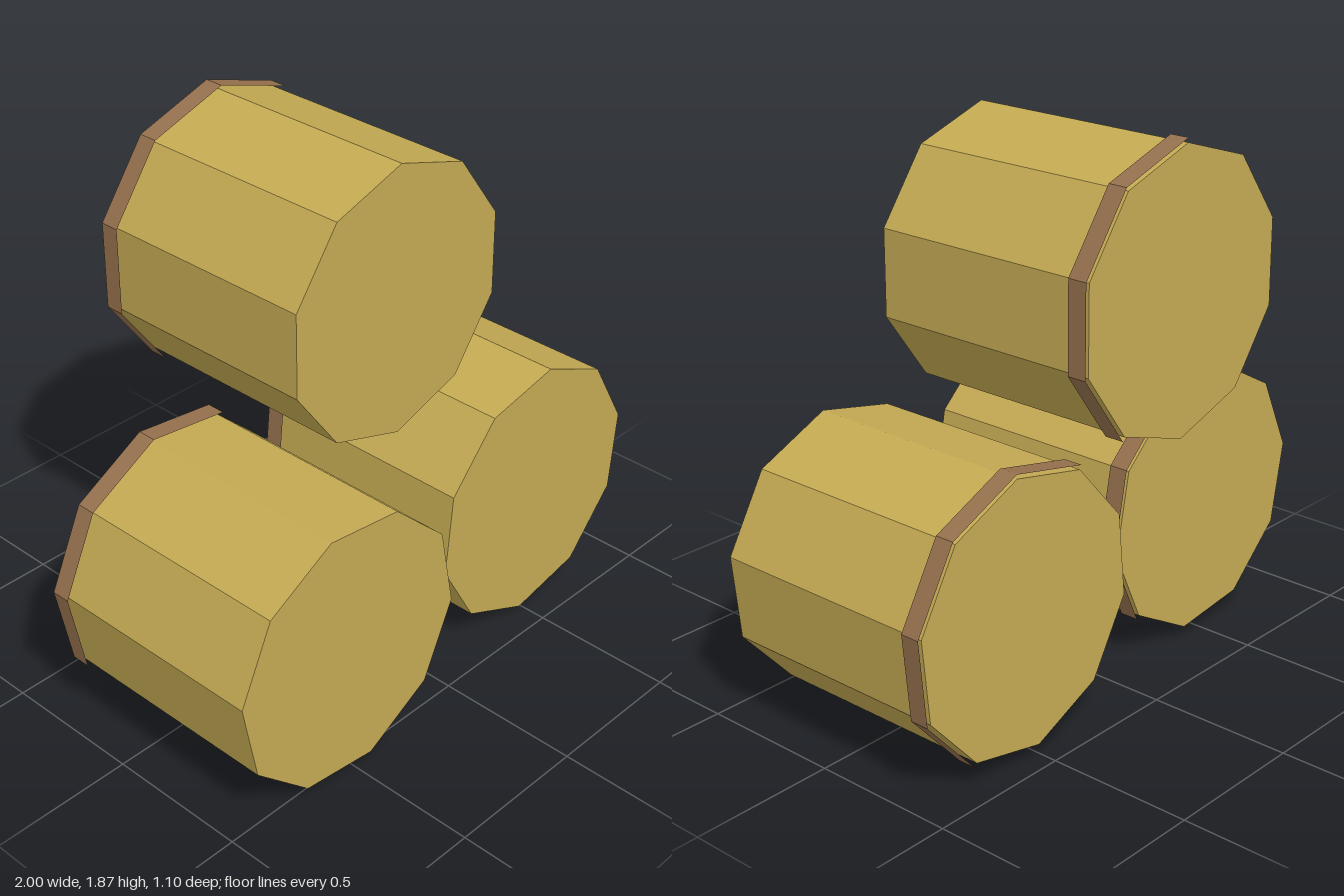
import * as THREE from 'three';

export function createModel() {
  const model = new THREE.Group();
  model.name = 'haybaleStack';

  const straw = new THREE.MeshStandardMaterial({ color: 0xc4aa53, flatShading: true });
  straw.name = 'straw';
  const strap = new THREE.MeshStandardMaterial({ color: 0x95704d, flatShading: true });
  strap.name = 'strapBrown';

  const SIDES = 10, RADIUS = 0.467, LENGTH = 0.825;
  const BAND_RADIUS = 0.482, BAND_WIDTH = 0.067;

  // ten-sided prism lying along z, with a corner pointing up
  const prism = (radius, length, open) =>
    new THREE.CylinderGeometry(radius, radius, length, SIDES, 1, open).rotateX(Math.PI / 2);

  const bodyGeometry = prism(RADIUS, LENGTH, false);
  // open band wrapped round the back end
  const bandGeometry = prism(BAND_RADIUS, BAND_WIDTH, true)
    .translate(0, 0, -LENGTH / 2 + BAND_WIDTH / 2 - 0.001);

  // x, y, z of the centre and roll in degrees
  const bales = [
    ['topBale', -0.026, 1.395, -0.138, 0],
    ['rightBale', -0.521, 0.485, 0.134, 11.1],
    ['leftBale', 0.527, 0.485, -0.002, -5.9],
  ];
  for (const [name, x, y, z, roll] of bales) {
    const bale = new THREE.Group();
    bale.name = name;
    const body = new THREE.Mesh(bodyGeometry, straw);
    body.name = 'baleBody';
    const band = new THREE.Mesh(bandGeometry, strap);
    band.name = 'backBand';
    bale.add(body, band);
    bale.position.set(x, y, z);
    bale.rotation.z = THREE.MathUtils.degToRad(roll);
    model.add(bale);
  }
  return model;
}
